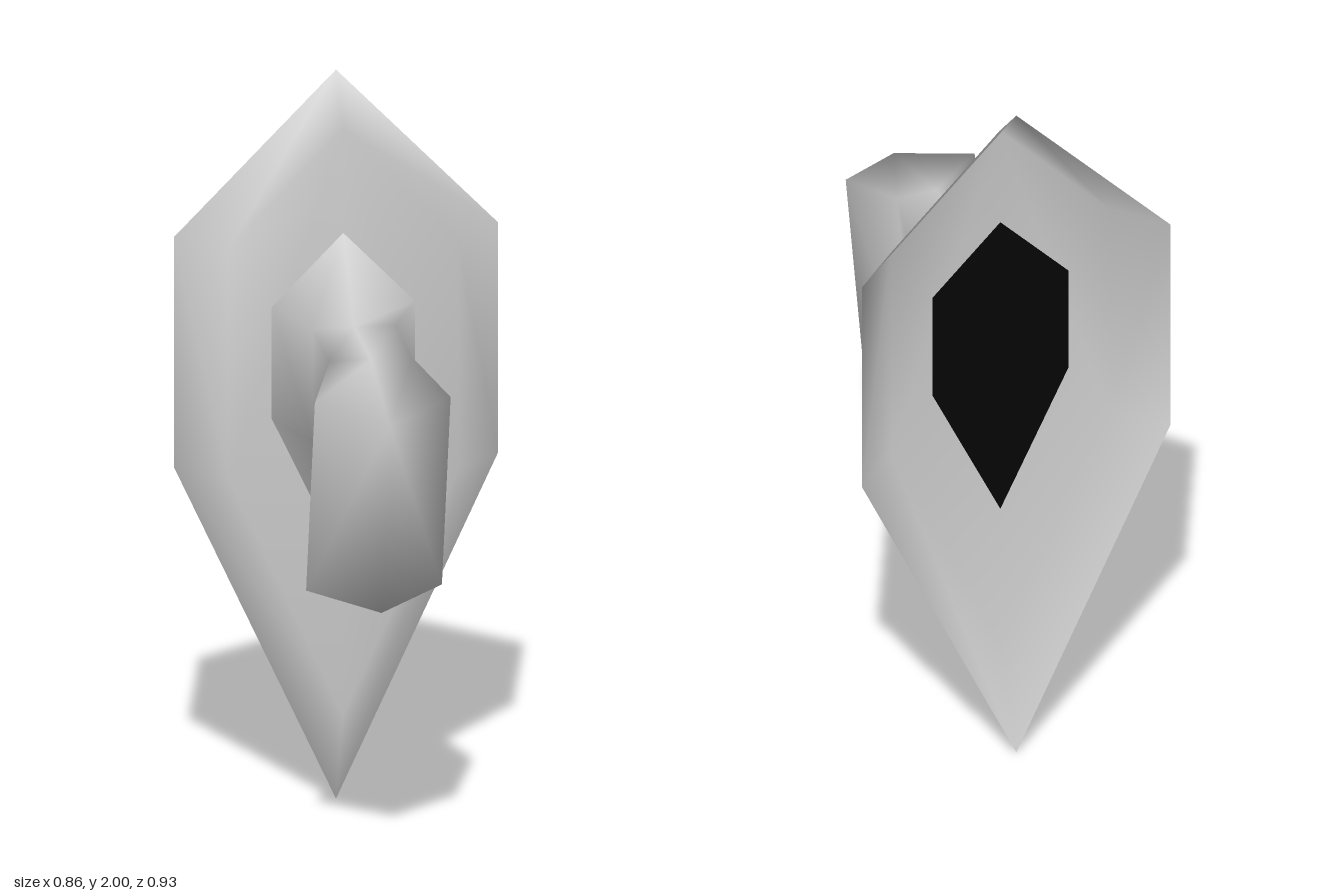
import * as THREE from 'three';
import { mergeVertices } from 'three/addons/utils/BufferGeometryUtils.js';

// Six-point ring, counter-clockwise seen from +z.
// top, upper, lower, bottom are [y, z]; wide is the half width of the side points.
const ring = (wide, top, upper, lower, bottom) => [
  [0, ...top], [-wide, ...upper], [-wide, ...lower],
  [0, ...bottom], [wide, ...lower], [wide, ...upper],
];

// Skin rings from back to front and close the front end; normals stay smooth.
function loft(rings) {
  const index = [];
  const n = 6;
  for (let r = 0; r < rings.length - 1; r++) {
    for (let i = 0; i < n; i++) {
      const a = r * n + i, b = r * n + (i + 1) % n;
      index.push(a, b, b + n, a, b + n, a + n);
    }
  }
  const last = (rings.length - 1) * n;
  for (let i = 1; i < n - 1; i++) index.push(last, last + i, last + i + 1);
  let geometry = new THREE.BufferGeometry();
  geometry.setAttribute('position', new THREE.Float32BufferAttribute(rings.flat(2), 3));
  geometry.setIndex(index);
  geometry = mergeVertices(geometry, 1e-4);
  geometry.computeVertexNormals();
  return geometry;
}

export function createModel() {
  const group = new THREE.Group();
  const grey = new THREE.MeshStandardMaterial({ name: 'paleGrey', color: 0xcccccc, side: THREE.DoubleSide });
  const black = new THREE.MeshStandardMaterial({ name: 'black', color: 0x050505 });

  const add = (name, geometry, material) => {
    const mesh = new THREE.Mesh(geometry, material);
    mesh.name = name;
    group.add(mesh);
  };

  // Wall plate: bevelled shell, open at the back
  const back = -0.465, face = -0.34;
  add('wallPlate', loft([
    ring(0.43, [2, back], [1.56, back], [0.93, back], [0, back]),
    ring(0.305, [1.875, face], [1.56, face], [0.93, face], [0.27, face]),
  ]), grey);

  // Arm: flared base, square neck, then the drooping wedge head
  const neckTop = [1.39, 0.14], neckBottom = [1.09, -0.05], heel = [0.835, -0.01];
  const base = ring(0.19, [1.59, face], [1.395, face], [1.09, face], [0.69, face]);
  add('armAndHead', loft([
    base,
    ring(0.11, [1.39, -0.15], [1.39, -0.15], [1.09, -0.15], [1.09, -0.15]),
    ring(0.11, neckTop, neckTop, neckBottom, neckBottom),
    ring(0.11, neckTop, neckTop, heel, heel),
    ring(0.18, [1.305, 0.465], [1.34, 0.34], [0.78, 0.19], [0.75, 0.32]),
  ]), grey);

  // Dark underside of the arm base, seen inside the plate
  const socket = new THREE.ShapeGeometry(new THREE.Shape(base.map(([x, y]) => new THREE.Vector2(x, y))));
  socket.rotateY(Math.PI).translate(0, 0, face - 0.004);
  add('armSocket', socket, black);

  return group;
}
